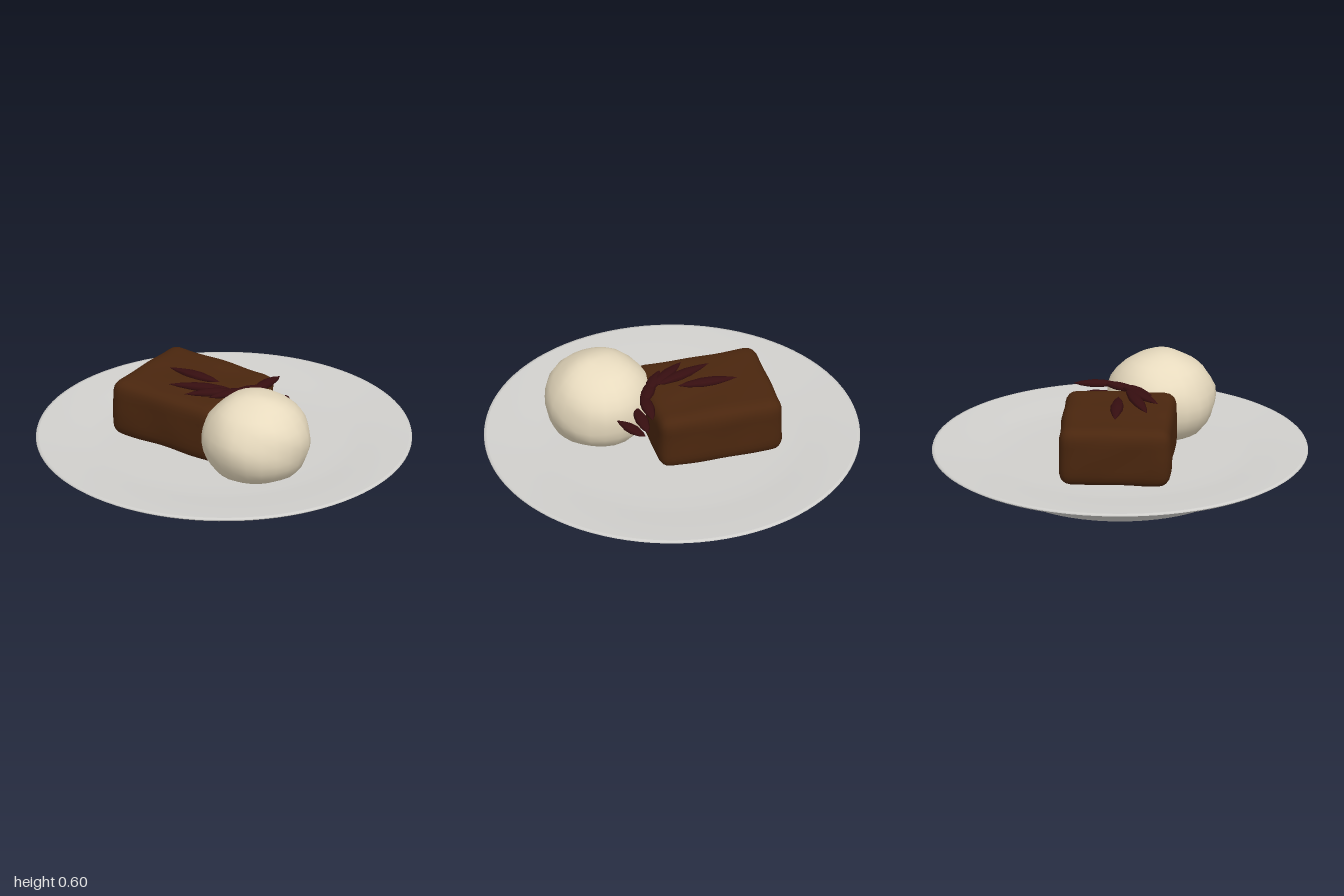
import * as THREE from 'three';
import { mergeVertices } from 'three/addons/utils/BufferGeometryUtils.js';

const mat = (name, color) => {
  const m = new THREE.MeshStandardMaterial({ color });
  m.name = name;
  return m;
};

// Gentle lumpiness that depends only on position
const lump = (p, f) =>
  (Math.sin(p.x * f + p.y * f * 0.7) + Math.sin(p.y * f * 1.3 - p.z * f * 0.9) + Math.sin(p.z * f * 1.1 + p.x * f * 0.6)) / 3;

// Move every vertex by a rule, then weld and smooth
function reshape(geometry, rule) {
  geometry.deleteAttribute('uv');
  geometry.deleteAttribute('normal');
  const g = mergeVertices(geometry, 1e-4);
  const pos = g.attributes.position;
  const p = new THREE.Vector3();
  for (let i = 0; i < pos.count; i++) {
    rule(p.fromBufferAttribute(pos, i));
    pos.setXYZ(i, p.x, p.y, p.z);
  }
  g.computeVertexNormals();
  return g;
}

// Shallow dish: underside, rim and well as separate surfaces so the edges stay crisp
function makePlate(material) {
  const plate = new THREE.Group();
  plate.name = 'plate';
  const sections = {
    plateBase: [[0, 0], [0.63, 0]],
    plateUnderside: [[0.63, 0], [0.68, 0.04], [0.84, 0.1], [0.98, 0.155], [1, 0.168]],
    plateRim: [[1, 0.168], [0.998, 0.176], [0.985, 0.178]],
    plateWell: [[0.985, 0.178], [0.9, 0.174], [0.8, 0.167], [0.72, 0.158], [0.64, 0.152], [0.5, 0.15], [0, 0.15]],
  };
  for (const [name, points] of Object.entries(sections)) {
    const g = new THREE.LatheGeometry(points.map(([x, y]) => new THREE.Vector2(x, y)), 96);
    const mesh = new THREE.Mesh(g, material);
    mesh.name = name;
    plate.add(mesh);
  }
  return plate;
}

// Soft-edged block of cake
function makeCake(material) {
  const half = new THREE.Vector3(0.342, 0.158, 0.297);
  const r = 0.065;
  const inner = half.clone().subScalar(r);
  const core = new THREE.Vector3();
  const g = reshape(new THREE.BoxGeometry(half.x * 2, half.y * 2, half.z * 2, 20, 10, 18), (p) => {
    core.copy(p).clamp(inner.clone().negate(), inner);
    const n = p.clone().sub(core).normalize();
    p.copy(core).addScaledVector(n, r + 0.006 * lump(p, 19));
  });
  const cake = new THREE.Mesh(g, material);
  cake.name = 'cake';
  cake.position.set(-0.197, 0.308, 0);
  return cake;
}

// Irregular scoop, flattened where it rests on the plate
function makeScoop(material) {
  const g = reshape(new THREE.SphereGeometry(1, 22, 16), (p) => {
    const k = 1 + 0.025 * lump(p, 6.5);
    const belly = p.y < 0 ? 1 + 0.05 * Math.abs(p.y) : 1;
    p.set(p.x * 0.29 * k * belly, Math.max(p.y * 0.25 * k, -0.2), p.z * 0.29 * k * belly);
  });
  const scoop = new THREE.Mesh(g, material);
  scoop.name = 'scoop';
  scoop.position.set(0.35, 0.35, 0.195);
  return scoop;
}

// Pointed flakes: start x, y, z, end x, y, z
const FLAKES = [
  [-0.36, 0.475, -0.005, -0.03, 0.482, -0.005],
  [-0.25, 0.475, 0.16, 0.08, 0.485, 0.03],
  [-0.11, 0.475, 0.21, 0.11, 0.485, 0.02],
  [0.02, 0.475, 0.17, 0.14, 0.485, -0.02],
  [0.07, 0.475, 0.12, 0.19, 0.482, -0.12],
  [0.17, 0.482, 0.0, 0.18, 0.475, -0.26],
  [0.21, 0.4, 0.0, 0.2, 0.38, -0.24],
  [0.33, 0.38, -0.08, 0.22, 0.375, -0.26],
];

function makeFlakes(material) {
  const flakes = new THREE.Group();
  flakes.name = 'flakes';
  const profile = [[0, -0.5], [0.5, -0.33], [0.95, -0.1], [1, 0.1], [0.6, 0.34], [0, 0.5]];
  const shape = new THREE.LatheGeometry(profile.map(([x, y]) => new THREE.Vector2(x, y)), 8);
  shape.rotateZ(-Math.PI / 2);
  FLAKES.forEach(([ax, ay, az, bx, by, bz], i) => {
    const a = new THREE.Vector3(ax, ay, az);
    const b = new THREE.Vector3(bx, by, bz);
    const d = b.clone().sub(a);
    const flake = new THREE.Mesh(shape, material);
    flake.name = `flake${i + 1}`;
    flake.position.copy(a).add(b).multiplyScalar(0.5);
    flake.rotation.set(0, Math.atan2(-d.z, d.x), Math.asin(d.y / d.length()));
    flake.scale.set(d.length(), 0.019, 0.035);
    flakes.add(flake);
  });
  return flakes;
}

export function createModel() {
  const model = new THREE.Group();
  model.name = 'dessertPlate';
  model.add(
    makePlate(mat('porcelain', 0xd0cfcc)),
    makeCake(mat('cakeBrown', 0x4a260e)),
    makeScoop(mat('cream', 0xe8dbbf)),
    makeFlakes(mat('darkFlake', 0x360e10)),
  );
  return model;
}
